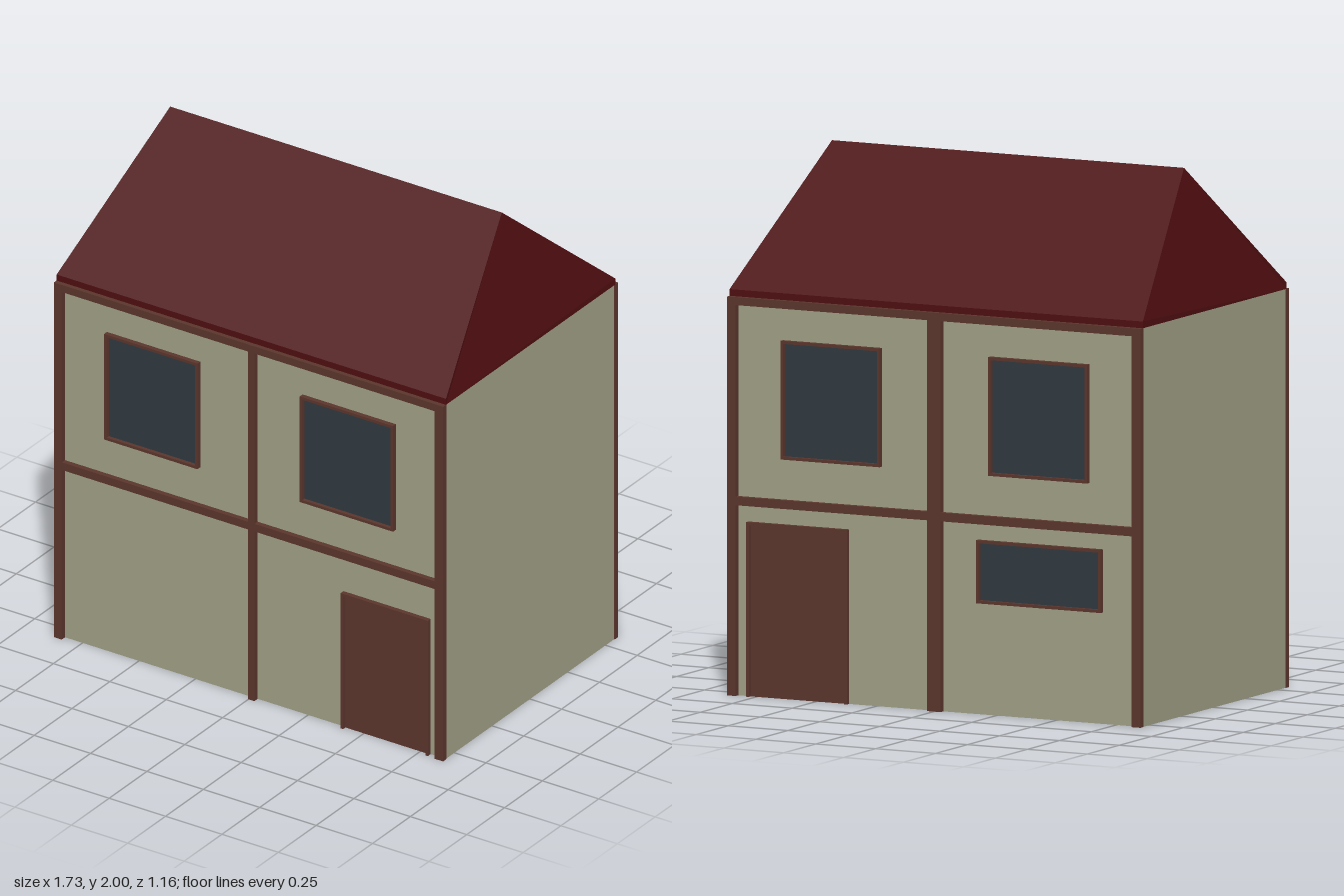
import * as THREE from 'three';

const material = (name, color) => {
  const m = new THREE.MeshStandardMaterial({ color });
  m.name = name;
  return m;
};

const HALF_W = 0.86, WALL_Z = 0.557, EAVES = 1.485, PROUD = 0.022;

export function createModel() {
  const plaster = material('plaster', 0x9f9f85);
  const timber = material('timber', 0x5a352c);
  const glass = material('window glass', 0x2f373f);
  const tiles = material('roof tiles', 0x4e0e10);

  const house = new THREE.Group();
  house.name = 'house';

  const addBox = (parent, name, mat, x0, x1, y0, y1, z0, z1) => {
    const mesh = new THREE.Mesh(new THREE.BoxGeometry(x1 - x0, y1 - y0, z1 - z0), mat);
    mesh.position.set((x0 + x1) / 2, (y0 + y1) / 2, (z0 + z1) / 2);
    mesh.name = name;
    parent.add(mesh);
  };

  addBox(house, 'walls', plaster, -HALF_W, HALF_W, 0, EAVES, -WALL_Z, WALL_Z);

  // Roof: gable profile with a short vertical eave, ridge ends pulled in to form hips
  const gable = new THREE.Shape([
    [-0.56, EAVES], [0.56, EAVES], [0.56, 1.51], [0, 2], [-0.56, 1.51],
  ].map(([z, y]) => new THREE.Vector2(z, y)));
  const roofGeo = new THREE.ExtrudeGeometry(gable, { depth: 1.726, bevelEnabled: false });
  roofGeo.translate(0, 0, -0.863).rotateY(Math.PI / 2);
  const pos = roofGeo.attributes.position;
  for (let i = 0; i < pos.count; i++) {
    if (pos.getY(i) > 1.9) pos.setX(i, Math.sign(pos.getX(i)) * 0.735);
  }
  roofGeo.computeVertexNormals();
  const roof = new THREE.Mesh(roofGeo, tiles);
  roof.name = 'roof';
  house.add(roof);

  // Facades are built facing +z; the back one is turned half round
  const facade = (name, turned) => {
    const g = new THREE.Group();
    g.name = name;
    g.rotation.y = turned ? Math.PI : 0;
    house.add(g);
    return g;
  };

  const addBeams = (g, c0, c1) => {
    const z1 = WALL_Z + PROUD;
    for (const [x0, x1] of [[-0.863, -0.828], [c0, c1], [0.825, 0.863]])
      addBox(g, 'post', timber, x0, x1, 0, EAVES, WALL_Z, z1);
    for (const [y0, y1] of [[0.71, 0.742], [1.455, EAVES]])
      addBox(g, 'crossBeam', timber, -0.83, 0.83, y0, y1, WALL_Z, z1 - 0.001);
  };

  // Raised frame around a thin panel; doors have no sill
  const addOpening = (g, name, panel, x0, x1, y0, y1, sill) => {
    const o = new THREE.Group(), t = 0.011, f = WALL_Z + 0.019;
    o.name = name;
    g.add(o);
    addBox(o, 'panel', panel, x0 + t, x1 - t, y0, y1 - t, WALL_Z, WALL_Z + 0.004);
    addBox(o, 'frameSide', timber, x0, x0 + t, y0, y1, WALL_Z, f);
    addBox(o, 'frameSide', timber, x1 - t, x1, y0, y1, WALL_Z, f);
    addBox(o, 'frameTop', timber, x0 + t, x1 - t, y1 - t, y1, WALL_Z, f);
    if (sill) addBox(o, 'frameSill', timber, x0 + t, x1 - t, y0, y0 + t, WALL_Z, f);
  };

  const front = facade('frontFacade', false);
  addBeams(front, -0.002, 0.026);
  addOpening(front, 'door', timber, 0.407, 0.793, 0, 0.566, false);

  const back = facade('backFacade', true);
  addBeams(back, -0.028, 0.028);
  addOpening(back, 'door', timber, -0.785, -0.365, 0, 0.65, false);
  addOpening(back, 'lowWindow', glass, 0.175, 0.695, 0.415, 0.65, true);

  // Upper windows on both sides
  for (const g of [front, back])
    for (const x of [-0.435, 0.432])
      addOpening(g, 'upperWindow', glass, x - 0.207, x + 0.207, 0.893, 1.335, true);

  return house;
}
